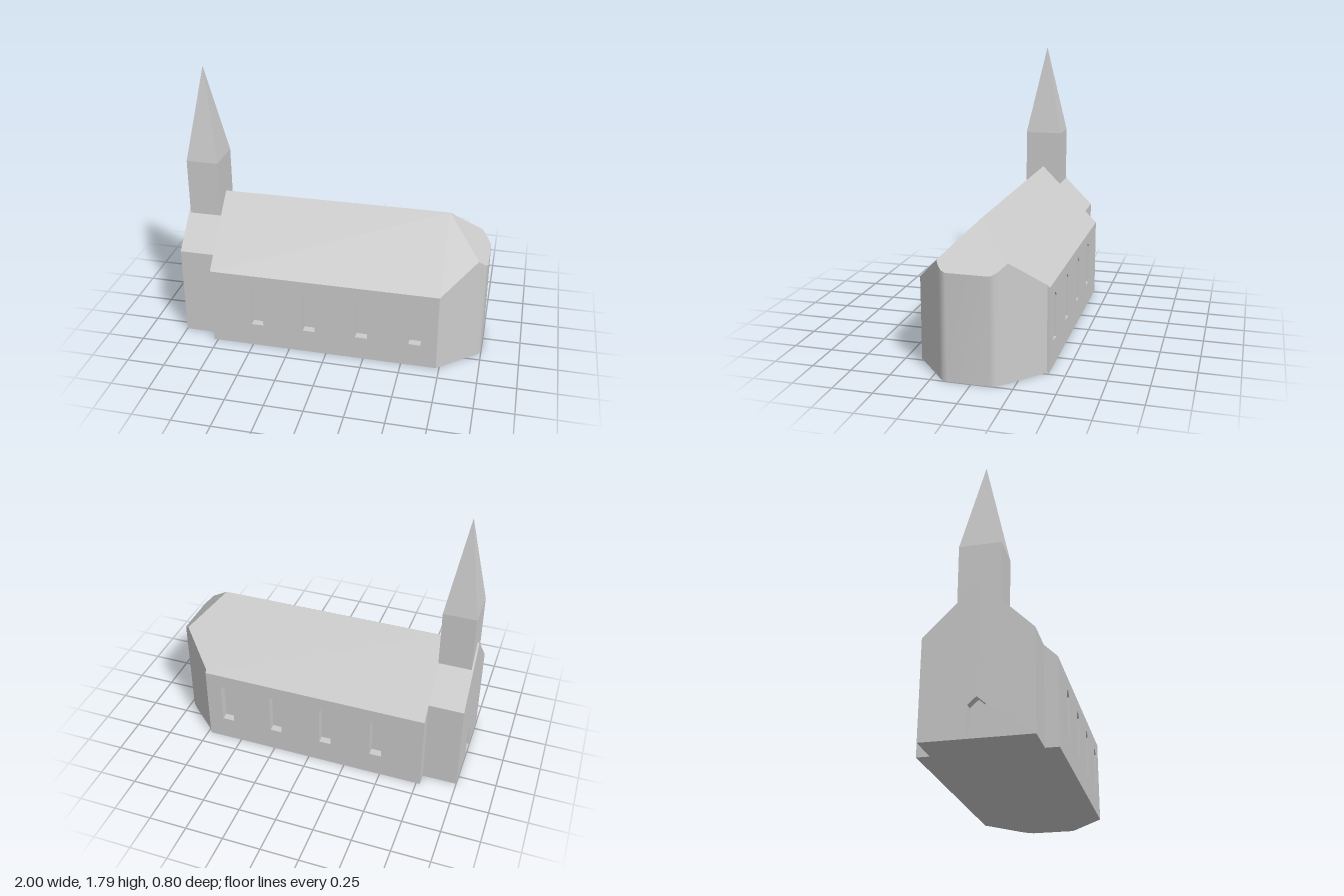
import * as THREE from 'three';

const RIDGE = 0.93;     // roof ridge height; every roof plane has a 45 degree pitch
const RECESS = 0.05;    // depth of window and door niches

const polygon = (pts) => new THREE.Shape(pts.map(([x, y]) => new THREE.Vector2(x, y)));

// Pointed opening used for windows and the door
function lancet(cx, y0, shoulder, peak, w) {
  const h = w / 2;
  return polygon([[cx - h, y0], [cx + h, y0], [cx + h, shoulder], [cx, peak], [cx - h, shoulder]]);
}

const extrude = (shape, depth) =>
  new THREE.ExtrudeGeometry(shape, { depth, bevelEnabled: false });

// Extrude a (z, y) profile along x, from x0 to x1
function alongX(shape, x0, x1) {
  return extrude(shape, x1 - x0).rotateY(Math.PI / 2).translate(x0, 0, 0);
}

function geometryFrom(points, index) {
  const g = new THREE.BufferGeometry();
  g.setAttribute('position', new THREE.Float32BufferAttribute(points.flat(), 3));
  g.setIndex(index);
  return g;
}

export function createModel() {
  const church = new THREE.Group();
  church.name = 'church';
  const stone = new THREE.MeshStandardMaterial({ color: 0xcccccc });
  stone.name = 'stone grey';
  const add = (name, geometry) => {
    const mesh = new THREE.Mesh(geometry, stone);
    mesh.name = name;
    church.add(mesh);
    return mesh;
  };

  // Nave core and gabled roof; the side walls fit under its eaves
  const inner = 0.4 - RECESS;
  add('naveAndRoof', alongX(polygon([
    [-inner, 0], [inner, 0], [inner, 0.53], [0.4, 0.53],
    [0, RIDGE], [-0.4, 0.53], [-inner, 0.53],
  ]), -0.775, 0.73));

  // Side walls pierced by four windows each
  const wall = polygon([[-0.775, 0], [0.73, 0], [0.73, 0.53], [-0.775, 0.53]]);
  for (let i = 0; i < 4; i++) {
    wall.holes.push(lancet(-0.465 + i * 0.35, 0.16, 0.425, 0.46, 0.08));
  }
  add('frontWindowWall', extrude(wall, RECESS).translate(0, 0, inner));
  add('backWindowWall', extrude(wall, RECESS).translate(0, 0, -0.4));

  // Narrower entrance bay with a recessed door in its gable
  const gable = () => polygon([[-0.32, 0], [0.32, 0], [0.32, 0.61], [0, RIDGE], [-0.32, 0.61]]);
  add('entranceBay', alongX(gable(), -1 + RECESS, -0.775));
  const doorGable = gable();
  doorGable.holes.push(lancet(0, 0.03, 0.19, 0.235, 0.1));
  add('doorGable', alongX(doorGable, -1, -1 + RECESS));

  // Rounded apse: footprint (x, z) from the front corner round to the back
  const plan = [
    [0.73, 0.4], [0.945, 0.215], [0.97, 0.197], [0.99, 0.175], [1, 0.145],
    [1, -0.115], [0.99, -0.14], [0.97, -0.168], [0.935, -0.205], [0.73, -0.385],
  ];
  const eave = ([x, z]) => RIDGE - Math.max(Math.abs(z), x - 0.73);
  const floor = plan.map(([x, z]) => [x, 0, z]);
  const top = plan.map((p) => [p[0], eave(p), p[1]]);
  const n = plan.length;
  const wallIndex = [], roofIndex = [], floorIndex = [];
  for (let i = 0; i < n - 1; i++) {
    wallIndex.push(i, i + 1, n + i + 1, i, n + i + 1, n + i);
    roofIndex.push(0, i + 1, i + 2);
    floorIndex.push(0, i + 2, i + 1);
  }
  const apseWall = geometryFrom([...floor, ...top], wallIndex);
  apseWall.computeVertexNormals();
  add('apseWall', apseWall);
  const fan = (centre, rim, index) => {
    const g = geometryFrom([centre, ...rim], index).toNonIndexed();
    g.computeVertexNormals();
    return g;
  };
  add('apseRoof', fan([0.73, RIDGE, 0], top, roofIndex));
  add('apseFloor', fan([0.73, 0, 0], floor, floorIndex));

  // Tower over the entrance with a four-sided spire
  const tx = -0.882, tw = 0.212, td = 0.253;
  add('tower', new THREE.BoxGeometry(tw, 0.48, td).translate(tx, 0.94, 0));
  const spire = new THREE.ConeGeometry(Math.SQRT1_2, 0.61, 4, 1, true)
    .rotateY(Math.PI / 4).scale(tw, 1, td).translate(tx, 1.485, 0).toNonIndexed();
  spire.computeVertexNormals();
  add('spire', spire);

  return church;
}
